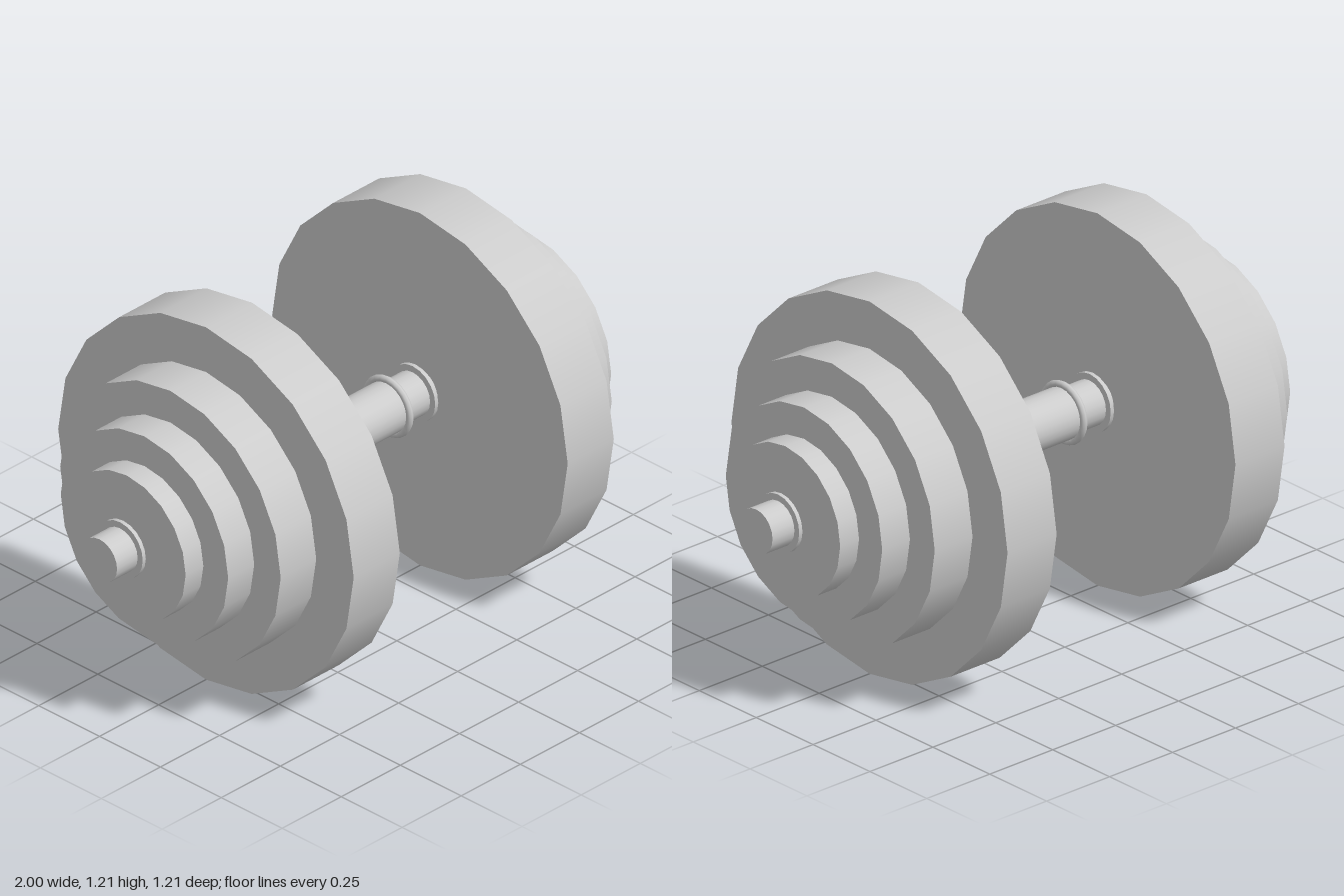
import * as THREE from 'three';

const SIDES = 20;
const AXIS_Y = 0.607;

export function createModel() {
  const model = new THREE.Group();
  model.name = 'dumbbell';
  const material = new THREE.MeshStandardMaterial({ color: 0xcccccc });

  // Solid disc along x, from x0 to x1
  function disc(name, radius, x0, x1, parent, sides = SIDES) {
    const geometry = new THREE.CylinderGeometry(radius, radius, x1 - x0, sides);
    geometry.rotateZ(-Math.PI / 2);
    geometry.translate((x0 + x1) / 2, 0, 0);
    const mesh = new THREE.Mesh(geometry, material);
    mesh.name = name;
    parent.add(mesh);
  }

  // Bar and thicker hand grip
  const bar = new THREE.Group();
  bar.name = 'bar';
  disc('rod', 0.072, -1, 1, bar);
  disc('grip', 0.082, -0.22, 0.22, bar, 24);
  model.add(bar);

  // Weights, collars and grip ring, the same at both ends
  const plates = [
    ['largePlate', 0.607, 0.355, 0.55],
    ['mediumPlate', 0.453, 0.55, 0.7],
    ['smallPlate', 0.344, 0.7, 0.81],
    ['endPlate', 0.242, 0.81, 0.885],
  ];
  for (const side of [1, -1]) {
    const end = new THREE.Group();
    end.name = side > 0 ? 'leftEnd' : 'rightEnd';
    for (const [name, radius, x0, x1] of plates) disc(name, radius, x0, x1, end);
    disc('innerCollar', 0.093, 0.324, 0.337, end);
    disc('outerCollar', 0.093, 0.9, 0.913, end);

    // Rounded ring closing the grip
    const ring = new THREE.Mesh(new THREE.TorusGeometry(0.09, 0.011, 8, 24), material);
    ring.name = 'gripRing';
    ring.rotation.y = Math.PI / 2;
    ring.position.x = 0.22;
    end.add(ring);

    if (side < 0) end.rotation.y = Math.PI;
    model.add(end);
  }

  model.children.forEach((part) => { part.position.y = AXIS_Y; });
  return model;
}
